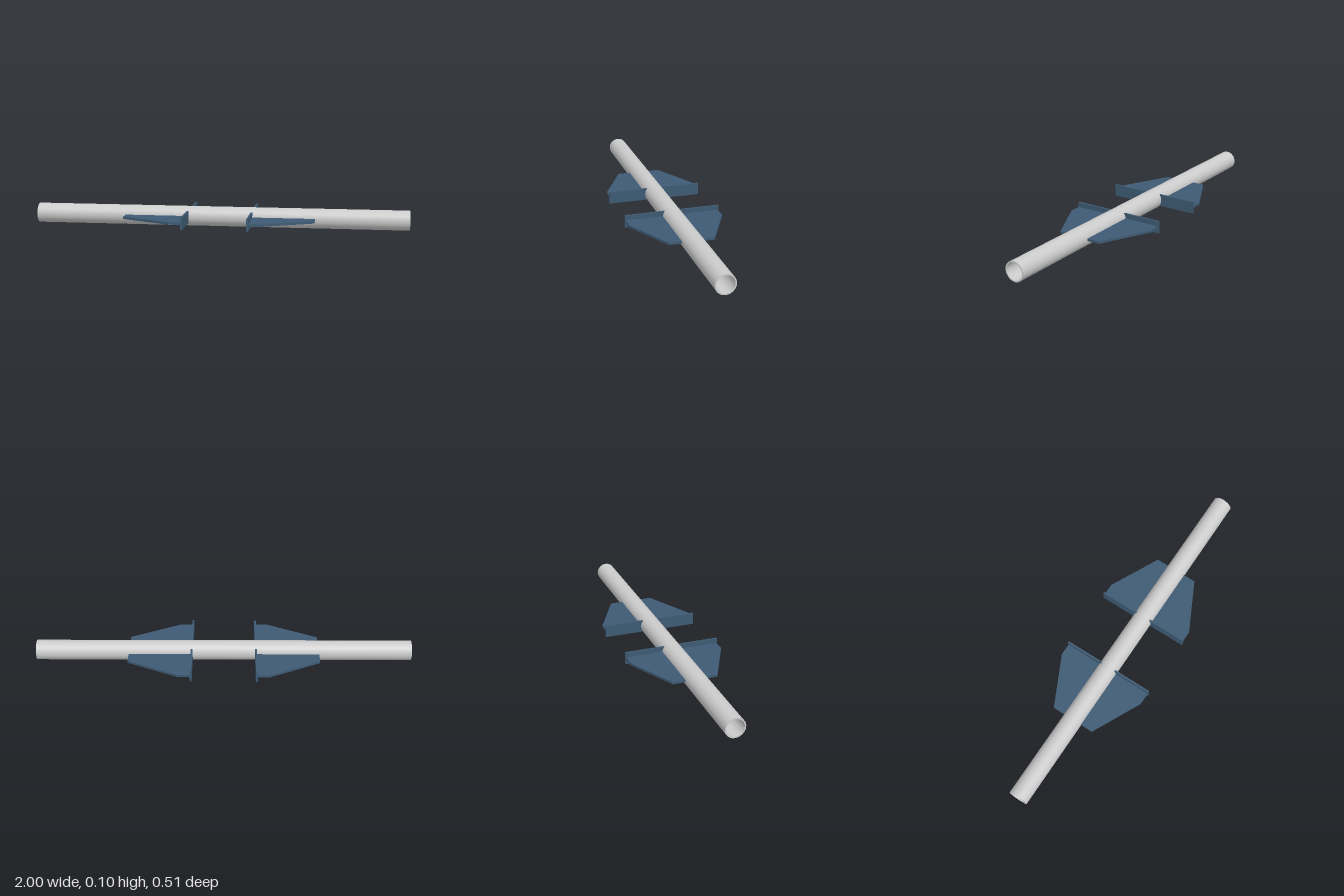
import * as THREE from 'three';

const R = 0.0525; // pipe outer radius, also the height of its axis
const BORE = 0.0455;

// Hollow pipe along x, with sharp rims
function makePipe(material) {
  const shape = new THREE.Shape().absarc(0, 0, R, 0, Math.PI * 2, false);
  shape.holes.push(new THREE.Path().absarc(0, 0, BORE, 0, Math.PI * 2, true));
  const geometry = new THREE.ExtrudeGeometry(shape, { depth: 2, bevelEnabled: false, curveSegments: 64 });
  // Radial normals make the walls smooth; the end rings stay flat
  const p = geometry.attributes.position, n = geometry.attributes.normal;
  for (let i = 0; i < p.count; i++) {
    if (Math.abs(n.getZ(i)) > 0.5) continue;
    const r = Math.hypot(p.getX(i), p.getY(i));
    const s = r > (R + BORE) / 2 ? 1 / r : -1 / r;
    n.setXYZ(i, p.getX(i) * s, p.getY(i) * s, 0);
  }
  geometry.translate(0, 0, -1).rotateY(Math.PI / 2);
  const pipe = new THREE.Mesh(geometry, material);
  pipe.name = 'pipe';
  return pipe;
}

// Upright end plate, its inner edge curved to fit the pipe
function makePlateGeometry() {
  const half = 0.0325, a = Math.asin(half / R);
  const shape = new THREE.Shape();
  shape.moveTo(R * Math.cos(a), -half);
  shape.lineTo(0.254, -half);
  shape.lineTo(0.254, half);
  shape.lineTo(R * Math.cos(a), half);
  shape.absarc(0, 0, R, a, -a, true);
  return new THREE.ExtrudeGeometry(shape, { depth: 0.01, bevelEnabled: false, curveSegments: 16 })
    .rotateY(-Math.PI / 2).translate(0.176, 0, 0);
}

// Flat tapered gusset behind the plate
function makeGussetGeometry() {
  const shape = new THREE.Shape([
    [0.176, 0.051], [0.507, 0.051], [0.507, 0.119], [0.24, 0.251], [0.176, 0.251],
  ].map(([x, z]) => new THREE.Vector2(x, z)));
  return new THREE.ExtrudeGeometry(shape, { depth: 0.0125, bevelEnabled: false })
    .translate(0, 0, -0.00625).rotateX(Math.PI / 2);
}

export function createModel() {
  const model = new THREE.Group();
  model.name = 'pipeWithBrackets';
  const grey = new THREE.MeshStandardMaterial({ color: 0xcccccc });
  const blue = new THREE.MeshStandardMaterial({ color: 0x3d5a73 });

  const assembly = new THREE.Group();
  assembly.name = 'assembly';
  assembly.position.y = R;
  model.add(assembly);
  assembly.add(makePipe(grey));

  // Four brackets: both ends, both sides (each half-turn maps one to the next)
  const plateGeometry = makePlateGeometry(), gussetGeometry = makeGussetGeometry();
  for (const turnY of [0, Math.PI]) {
    for (const turnX of [0, Math.PI]) {
      const bracket = new THREE.Group();
      bracket.name = 'bracket';
      const plate = new THREE.Mesh(plateGeometry, blue);
      plate.name = 'endPlate';
      const gusset = new THREE.Mesh(gussetGeometry, blue);
      gusset.name = 'gusset';
      bracket.add(plate, gusset);
      bracket.rotation.set(turnX, turnY, 0);
      assembly.add(bracket);
    }
  }
  return model;
}
